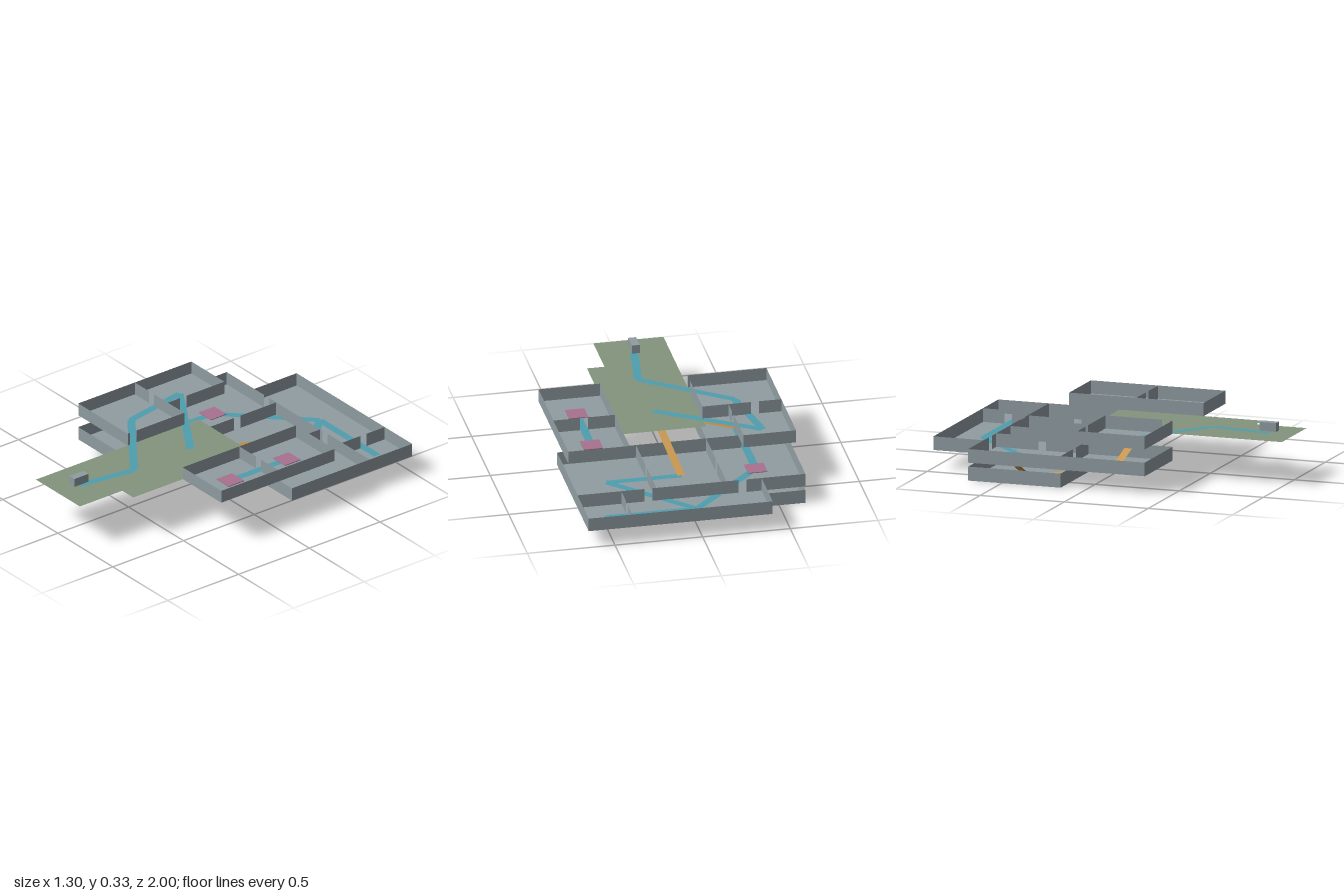
import * as THREE from 'three';

const mat = (name, color, side = THREE.DoubleSide) => {
  const m = new THREE.MeshStandardMaterial({ color, side });
  m.name = name;
  return m;
};

export function createModel() {
  const root = new THREE.Group();
  root.name = 'levelMap';
  const stone = mat('stone grey', 0x909da2);
  const grass = mat('grass green', 0x83957d);
  const path = mat('path blue', 0x4f9eb0);
  const ramp = mat('ramp orange', 0xcc9a52);
  const marker = mat('marker pink', 0xa8728f);

  const add = (parent, name, geo, material) => {
    const mesh = new THREE.Mesh(geo, material);
    mesh.name = name;
    parent.add(mesh);
    return mesh;
  };

  // Flat polygon of [x, z] corners at height y
  const flat = (parent, name, y, pts, material) => {
    const shape = new THREE.Shape(pts.map(([x, z]) => new THREE.Vector2(x, -z)));
    return add(parent, name, new THREE.ShapeGeometry(shape).rotateX(-Math.PI / 2).translate(0, y, 0), material);
  };

  // Flat strip between two 3D points, level across its width
  const strip = (parent, name, a, b, width, material) => {
    const p = new THREE.Vector3(...a), q = new THREE.Vector3(...b);
    const d = q.clone().sub(p);
    const geo = new THREE.PlaneGeometry(width, d.length()).rotateX(-Math.PI / 2);
    const mesh = add(parent, name, geo, material);
    mesh.position.copy(p).add(q).multiplyScalar(0.5);
    mesh.rotation.order = 'YXZ';
    mesh.rotation.set(-Math.asin(d.y / d.length()), Math.atan2(d.x, d.z), 0);
    return mesh;
  };

  // Thin upright wall from (x1,z1) to (x2,z2); door is the fraction along it
  const DOOR = 0.045;
  const wall = (parent, y, h, [x1, z1, x2, z2, door]) => {
    const len = Math.hypot(x2 - x1, z2 - z1);
    const half = DOOR / 2 / len;
    const spans = door === undefined ? [[0, 1]] : [[0, door - half], [door + half, 1]];
    for (const [s, e] of spans) {
      const mesh = add(parent, 'wall', new THREE.PlaneGeometry(len * (e - s), h), stone);
      const t = (s + e) / 2;
      mesh.position.set(x1 + (x2 - x1) * t, y + h / 2, z1 + (z2 - z1) * t);
      mesh.rotation.y = -Math.atan2(z2 - z1, x2 - x1);
    }
  };

  // Storey: floor outline with outer walls (doors keyed by edge) and partitions
  const storey = (name, y, h, pts, doors = {}, partitions = []) => {
    const g = new THREE.Group();
    g.name = name;
    flat(g, 'floor', y, pts, stone);
    pts.forEach((p, i) => wall(g, y, h, [...p, ...pts[(i + 1) % pts.length], doors[i]]));
    partitions.forEach(w => wall(g, y, h, w));
    root.add(g);
  };

  const LOW = 0, MID = 0.102, TOP = 0.255;
  storey('lowerRoom', LOW, 0.08, [[-0.65, -0.7], [-0.2, -0.7], [-0.2, -0.15], [-0.65, -0.15]]);
  storey('middleRooms', MID, 0.078,
    [[-0.4, -1], [0.65, -1], [0.65, -0.15], [-0.2, -0.15], [-0.2, 0.35], [-0.65, 0.35], [-0.65, -0.7], [-0.4, -0.7]],
    {},
    [[-0.4, -0.7, -0.2, -0.7, 0.55], [-0.2, -0.7, 0.2, -0.7], [0.2, -0.7, 0.65, -0.7, 0.1],
      [0.4, -1, 0.4, -0.7, 0.5], [-0.2, -0.7, -0.2, -0.15, 0.5], [0.2, -0.7, 0.2, -0.15, 0.5],
      [-0.65, -0.15, -0.2, -0.15, 0.5]]);
  storey('upperRightRooms', TOP, 0.075, [[-0.65, -0.45], [-0.35, -0.45], [-0.35, -0.05], [-0.2, -0.05], [-0.2, 0.35], [-0.65, 0.35]],
    { 1: 0.73, 3: 0.9 }, [[-0.65, -0.05, -0.35, -0.05, 0.5]]);
  storey('upperLeftRooms', TOP, 0.075, [[0.3, -0.45], [0.65, -0.45], [0.65, 0.35], [0.3, 0.35]],
    {}, [[0.3, -0.05, 0.65, -0.05, 0.5]]);

  // Open lawn with a small block standing over it
  flat(root, 'lawn', TOP, [[-0.2, -0.15], [0.3, -0.15], [0.3, 0.7], [0.2, 0.7], [0.2, 1], [-0.2, 1]], grass);
  add(root, 'block', new THREE.BoxGeometry(0.045, 0.05, 0.1), stone).position.set(0, 0.295, 0.85);

  // Ramps linking the storeys
  [
    [[0, MID, -0.425], [0.05, TOP - 0.001, 0.1]],
    [[-0.425, MID, 0.1], [0.05, TOP - 0.001, 0.1]],
    [[-0.425, LOW, -0.425], [-0.425, MID - 0.001, 0.1]],
    [[-0.425, LOW + 0.001, -0.425], [-0.62, MID - 0.001, -0.425]],
  ].forEach(([a, b]) => strip(root, 'ramp', a, b, 0.045, ramp));

  // Footpaths lying on the floors
  const paths = (y, list) => list.forEach(([x1, z1, x2, z2]) =>
    strip(root, 'path', [x1, y + 0.0012, z1], [x2, y + 0.0012, z2], 0.045, path));
  paths(TOP, [
    [0, 0.85, 0.05, 0.5], [0.05, 0.5, -0.425, 0.15], [-0.425, 0.15, -0.5, -0.25],
    [-0.5, -0.25, 0.05, 0.1], [0.475, 0.15, 0.475, -0.25],
  ]);
  paths(MID, [
    [0.425, -0.425, 0, -0.425], [0.425, -0.425, 0, -0.85], [0, -0.85, 0.525, -0.85],
    [-0.425, -0.425, 0, -0.85], [-0.425, -0.425, -0.425, 0.1],
  ]);

  // Square floor markers
  [[0.475, TOP, -0.25], [0.475, TOP, 0.15], [-0.425, MID, -0.425]].forEach(([x, y, z]) =>
    add(root, 'marker', new THREE.BoxGeometry(0.11, 0.004, 0.11), marker).position.set(x, y + 0.003, z));

  return root;
}
